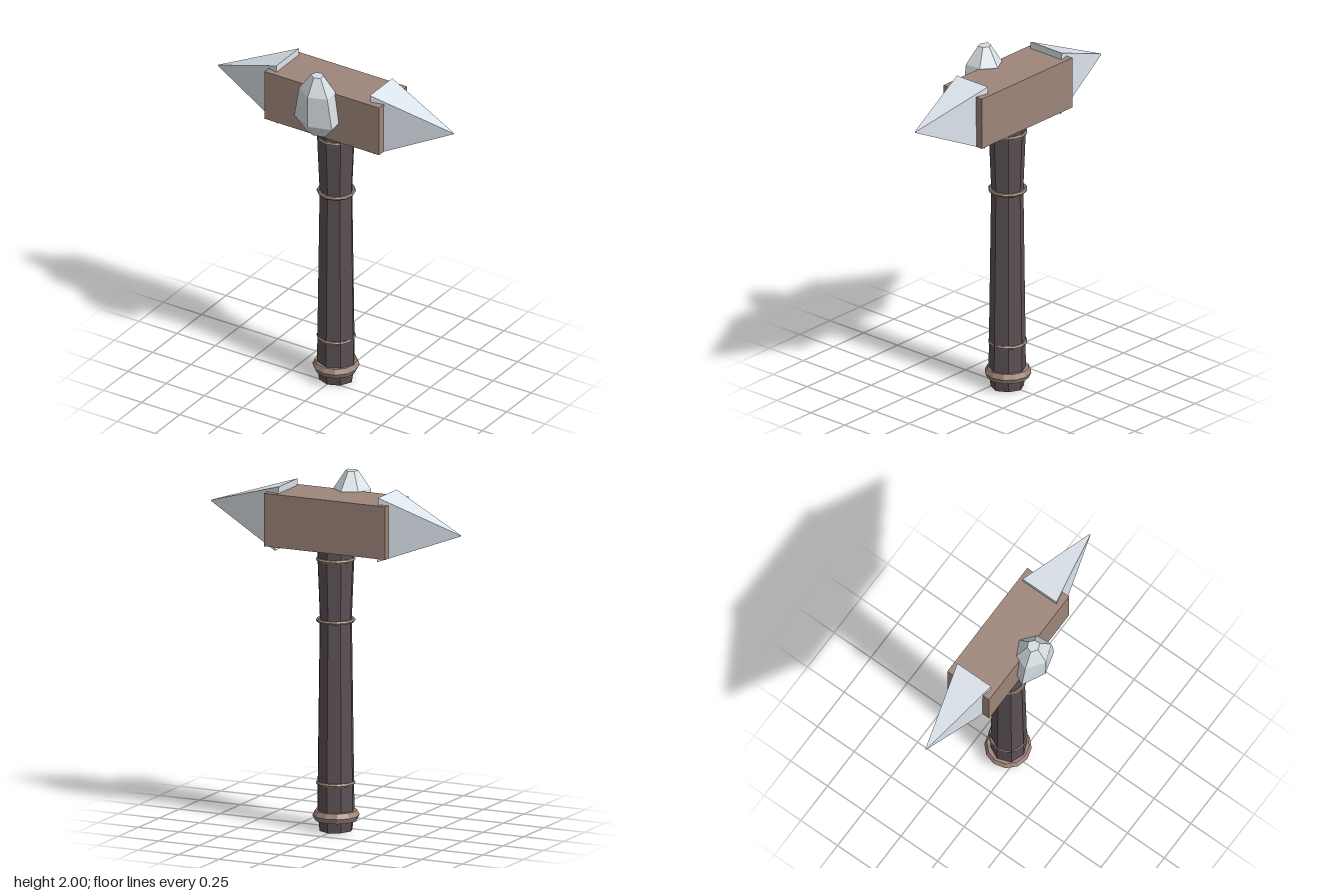
import * as THREE from 'three';

const AXIS_Z = -0.065; // the handle and head share this depth

const mat = (color) => new THREE.MeshStandardMaterial({ color, flatShading: true });
const wood = mat(0x5a5054), leather = mat(0x9e857a), steel = mat(0xdce4ec), stone = mat(0xd6dee2);

// Closed solid through equal-sized rings of [x, y, z].
// Seen looking back from the last ring, each ring runs clockwise.
function loft(rings) {
  const n = rings[0].length, index = [];
  for (let r = 0; r < rings.length - 1; r++) {
    for (let i = 0; i < n; i++) {
      const a = r * n + i, b = r * n + (i + 1) % n;
      index.push(a, a + n, b, b, a + n, b + n);
    }
  }
  const top = (rings.length - 1) * n;
  for (let i = 1; i < n - 1; i++) {
    index.push(0, i, i + 1);
    index.push(top, top + i + 1, top + i);
  }
  const g = new THREE.BufferGeometry();
  g.setAttribute('position', new THREE.Float32BufferAttribute(rings.flat(2), 3));
  g.setIndex(index);
  const flat = g.toNonIndexed();
  flat.computeVertexNormals();
  return flat;
}

export function createModel() {
  const model = new THREE.Group();
  model.name = 'warHammer';
  const add = (name, geometry, material, x = 0, y = 0, z = 0) => {
    const m = new THREE.Mesh(geometry, material);
    m.name = name;
    m.position.set(x, y, z);
    model.add(m);
  };

  // Uneven eight-sided handle, narrowing towards the middle
  const corners = [1, 0.94, 0.95, 0.98, 0.95, 0.9, 0.95, 0.92];
  const profile = [[0.1, 0], [0.104, 0.03], [0.112, 0.12], [0.109, 0.35], [0.097, 1.2], [0.11, 1.5], [0.113, 1.61]];
  add('handle', loft(profile.map(([r, y]) => corners.map((k, i) => {
    const a = i * Math.PI / 4;
    return [r * k * Math.cos(a), y, r * k * Math.sin(a)];
  }))), wood, 0.003, 0, AXIS_Z);

  // Thin cords around the handle
  [0.27, 1.19, 1.535].forEach((y, i) => {
    const cord = new THREE.TorusGeometry(0.099, 0.011, 6, 12);
    cord.rotateX(Math.PI / 2);
    add('cord' + (i + 1), cord, leather, 0.002, y, AXIS_Z);
  });

  // Thick ridged collar near the foot
  const collar = [[0.09, 0.058], [0.117, 0.058], [0.131, 0.087], [0.117, 0.115], [0.09, 0.115], [0.09, 0.058]];
  add('collar', new THREE.LatheGeometry(collar.map(([r, y]) => new THREE.Vector2(r, y)), 12), leather, 0, 0, AXIS_Z);

  // Head block
  add('headBlock', new THREE.BoxGeometry(0.75, 0.3, 0.285), leather, 0, 1.745, -0.0635);

  // Four-sided spikes, the two leaning slightly differently
  const spike = (name, side, topX, bottomX, tipY) => {
    const base = [[topX, 1.935, 0.05], [topX, 1.935, -0.18], [bottomX, 1.57, -0.18], [bottomX, 1.57, 0.05]];
    const tip = [[0.77, tipY + 0.003, -0.062], [0.77, tipY + 0.003, -0.068], [0.77, tipY - 0.003, -0.068], [0.77, tipY - 0.003, -0.062]];
    const rings = [base, tip].map((ring) => ring.map(([x, y, z]) => [x * side, y, z]));
    if (side < 0) rings.forEach((ring) => ring.reverse()); // mirroring flips the winding
    add(name, loft(rings), steel);
  };
  spike('spikeLeft', 1, 0.295, 0.32, 1.785);
  spike('spikeRight', -1, 0.317, 0.31, 1.743);

  // Faceted stone on the front of the head
  const outline = [[0.01, 0.008], [0.11, 0.07], [0.12, 0.165], [-0.015, 0.204], [-0.145, 0.135], [-0.1, 0.05]];
  const section = (y, sx, sz) => outline.map(([x, z]) => [-0.008 + (x + 0.008) * sx, y, 0.115 + (z - 0.115) * sz]);
  add('stone', loft([
    section(1.637, 0.5, 0.4),
    section(1.715, 1, 0.97),
    section(1.9, 0.77, 1),
    section(2.0, 0.27, 0.36),
  ]), stone);

  return model;
}
